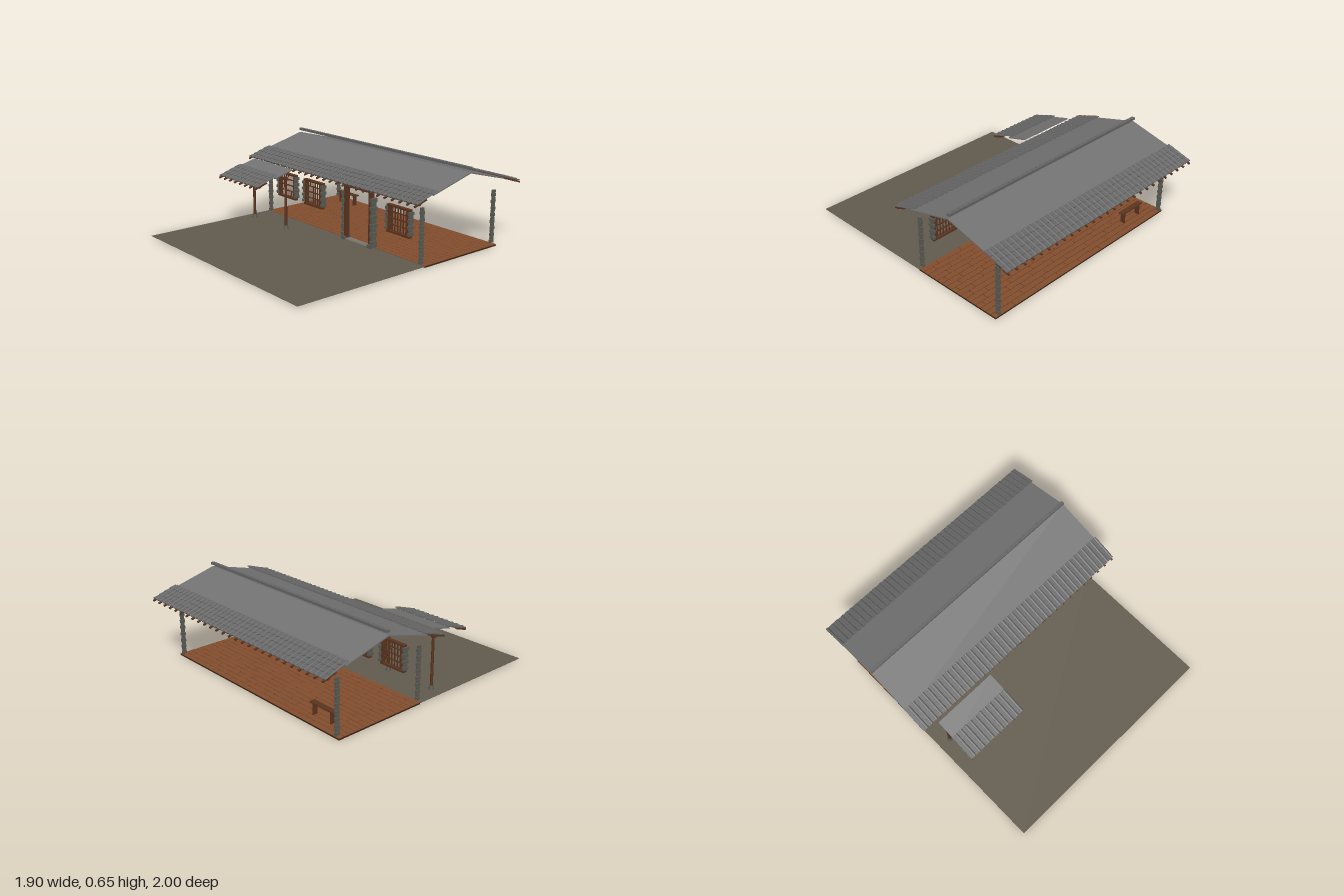
import * as THREE from 'three';
import { mergeGeometries } from 'three/addons/utils/BufferGeometryUtils.js';

const paint = (name, color, side = THREE.FrontSide) => {
  const m = new THREE.MeshStandardMaterial({ color, side });
  m.name = name;
  return m;
};

// Box given by centre and size, with an optional tilt about x
function box(x, y, z, w, h, d, tilt = 0) {
  return new THREE.BoxGeometry(w, h, d).rotateX(tilt).translate(x, y, z);
}
// Box given by its limits
function span(x0, x1, y0, y1, z0, z1) {
  return box((x0 + x1) / 2, (y0 + y1) / 2, (z0 + z1) / 2, x1 - x0, y1 - y0, z1 - z0);
}
function part(name, geometries, material) {
  const mesh = new THREE.Mesh(mergeGeometries(geometries), material);
  mesh.name = name;
  return mesh;
}

// Stacked stones, alternately wide and narrow
function stones(x, z, y0, y1, n, w, d, step = 0.006) {
  const list = [], h = (y1 - y0) / n;
  for (let i = 0; i < n; i++) {
    const grow = i % 2 ? 0 : step;
    list.push(box(x, y0 + (i + 0.5) * h, z, w + grow / 2, h * 0.88, d + grow));
  }
  return list;
}

export function createModel() {
  const model = new THREE.Group();
  model.name = 'farmhouse';
  const roofGrey = paint('roof grey', 0x737373);
  const tileGrey = paint('tile grey', 0x666666);
  const stone = paint('stone', 0x5b5b55);
  const earth = paint('earth', 0x625b4e, THREE.DoubleSide);
  const floorWood = paint('floor wood', 0x834e2e);
  const darkWood = paint('dark wood', 0x5c3520);
  const gapBrown = paint('gap brown', 0x3c2415);
  const paleStone = paint('pale stone', 0x79756a);

  // Yard
  model.add(part('yard', [span(-0.9, 0.89, 0.009, 0.012, -0.09, 1)], earth));

  // Plank floor with staggered joints
  const planks = [], rows = 16, depth = 0.74 / rows, length = 0.22;
  for (let r = 0; r < rows; r++) {
    const z = -0.83 + (r + 0.5) * depth;
    let x = -0.9;
    let end = x + length * (0.3 + 0.7 * ((r * 0.618) % 1));
    while (x < 0.885) {
      const stop = Math.min(end, 0.89);
      planks.push(box((x + stop) / 2, 0.007, z, stop - x - 0.004, 0.014, depth - 0.004));
      x = stop;
      end = x + length;
    }
  }
  model.add(part('floorPlanks', planks, floorWood));
  model.add(part('floorBase', [span(-0.899, 0.889, 0.002, 0.011, -0.829, -0.091)], gapBrown));

  // Stone corner pillars
  const pillars = [];
  for (const x of [-0.865, 0.855])
    for (const z of [-0.085, -0.815]) pillars.push(...stones(x, z, 0.02, 0.42, 16, 0.016, 0.027));
  model.add(part('cornerPillars', pillars, stone));

  // Eave: overlapping tile courses on rafters, falling towards +z from its top edge
  function eave(name, x0, x1, columns, rafterCount) {
    const group = new THREE.Group();
    group.name = name;
    const slope = 0.3, tiles = [], covers = [], rafters = [];
    const pitch = (x1 - x0) / columns, courses = 4, run = 0.19 / courses;
    for (let c = 0; c < columns; c++) {
      const x = x0 + (c + 0.5) * pitch;
      for (let r = 0; r < courses; r++) {
        const z = (r + 0.5) * run, y = -z * 0.32 - 0.003;
        tiles.push(box(x - pitch * 0.2, y, z, pitch * 0.62, 0.006, run * 1.15, slope - 0.08));
        covers.push(new THREE.CylinderGeometry(pitch * 0.22, pitch * 0.26, run * 1.1, 6, 1, false, Math.PI / 2, Math.PI)
          .rotateX(-Math.PI / 2).rotateZ(Math.PI).scale(1, 0.8, 1));
        const cover = covers[covers.length - 1];
        cover.computeBoundingBox();
        if (cover.boundingBox.max.y < 0.001) cover.rotateZ(Math.PI);
        cover.rotateX(slope).translate(x + pitch * 0.25, y + 0.001, z);
      }
    }
    for (let i = 0; i < rafterCount; i++) {
      const x = x0 + 0.012 + i * (x1 - x0 - 0.03) / (rafterCount - 1);
      rafters.push(box(x, -0.064, 0.152, 0.012, 0.012, 0.1, slope));
    }
    rafters.push(box((x0 + x1) / 2, -0.066, 0.16, x1 - x0 - 0.008, 0.012, 0.022, slope));
    rafters.push(box((x0 + x1) / 2, -0.046, 0.105, x1 - x0 - 0.008, 0.01, 0.016, slope));
    group.add(part('panTiles', tiles, tileGrey), part('coverTiles', covers, tileGrey));
    group.add(part('rafters', rafters, darkWood));
    return group;
  }
  const frontEave = eave('frontEave', -0.953, 0.95, 42, 27);
  frontEave.position.set(0, 0.545, -0.13);
  const backEave = eave('backEave', -0.95, 0.953, 42, 27);
  backEave.position.set(0, 0.545, -0.795);
  backEave.rotation.y = Math.PI;
  const porchEave = eave('porchEave', -0.842, -0.338, 11, 8);
  porchEave.position.set(0, 0.463, 0.228);
  model.add(frontEave, backEave, porchEave);

  // Sloping slab from an upper to a lower edge
  function slab(x0, x1, zA, yA, zB, yB) {
    const tilt = Math.atan2(yA - yB, zB - zA);
    return box((x0 + x1) / 2, (yA + yB) / 2, (zA + zB) / 2, x1 - x0, 0.008, Math.hypot(zB - zA, yB - yA), tilt);
  }
  const backSlab = slab(-0.95, 0.94, 0, 0.614, 0.36, 0.519).rotateY(Math.PI).translate(-0.01, 0, -0.46);
  model.add(part('mainRoof', [slab(-0.95, 0.94, -0.46, 0.614, -0.1, 0.519), backSlab], roofGrey));
  model.add(part('porchRoof', [slab(-0.84, -0.34, 0.088, 0.484, 0.25, 0.441)], roofGrey));

  // Ridge tiles
  const ridge = [];
  for (let i = 0; i < 42; i++) ridge.push(box(-0.9275 + i * 0.045, 0.645, -0.463, 0.041, 0.018, 0.026));
  ridge.push(box(-0.005, 0.644, -0.463, 1.87, 0.012, 0.02));
  model.add(part('ridgeTiles', ridge, tileGrey));

  // Porch posts on stone feet
  for (const x of [-0.807, -0.39]) {
    const post = new THREE.Group();
    post.name = 'porchPost';
    post.add(part('shaft', [
      new THREE.CylinderGeometry(0.01, 0.011, 0.37, 10).translate(x, 0.225, 0.12),
      box(x, 0.412, 0.12, 0.024, 0.022, 0.026),
    ], darkWood));
    post.add(part('foot', [
      new THREE.CylinderGeometry(0.014, 0.02, 0.03, 8).translate(x, 0.027, 0.12),
    ], stone));
    model.add(post);
  }
  model.add(part('porchBeam', [span(-0.83, -0.35, 0.405, 0.418, 0.113, 0.127)], darkWood));

  // Lattice windows with stone surrounds
  for (const x of [-0.63, -0.295, 0.64]) {
    const win = new THREE.Group();
    win.name = 'window';
    const frame = [
      box(x, 0.373, -0.083, 0.225, 0.014, 0.03), box(x, 0.184, -0.083, 0.225, 0.014, 0.03),
      box(x - 0.096, 0.279, -0.083, 0.016, 0.18, 0.026), box(x + 0.096, 0.279, -0.083, 0.016, 0.18, 0.026),
    ];
    const bars = [];
    for (let i = 0; i < 6; i++) bars.push(box(x - 0.068 + i * 0.0272, 0.279, -0.083, 0.006, 0.18, 0.008));
    for (let i = 0; i < 3; i++) bars.push(box(x, 0.237 + i * 0.046, -0.083, 0.18, 0.007, 0.01));
    const surround = [];
    for (const s of [-1, 1]) surround.push(...stones(x + s * 0.111, -0.083, 0.195, 0.365, 7, 0.015, 0.034, 0.012));
    win.add(part('frame', frame, darkWood), part('lattice', bars, darkWood), part('surround', surround, stone));
    model.add(win);
  }

  // Gateway: posts, lintel, threshold and stone jambs
  const gate = new THREE.Group();
  gate.name = 'gateway';
  const timber = [], jambs = [], feet = [];
  for (const s of [-1, 1]) {
    const x = 0.222 + s * 0.134;
    timber.push(box(x, 0.24, -0.083, 0.026, 0.42, 0.034));
    timber.push(box(0.222 + s * 0.118, 0.23, -0.083, 0.008, 0.4, 0.02));
    jambs.push(...stones(0.222 + s * 0.156, -0.083, 0.035, 0.385, 11, 0.02, 0.042, 0.012));
    feet.push(box(x + s * 0.008, 0.024, -0.083, 0.042, 0.024, 0.065));
  }
  timber.push(span(0.075, 0.37, 0.42, 0.446, -0.105, -0.06));
  timber.push(span(0.06, 0.385, 0.45, 0.466, -0.105, -0.03));
  gate.add(part('timberFrame', timber, darkWood), part('stoneJambs', jambs, stone));
  gate.add(part('postFeet', feet, stone));
  gate.add(part('threshold', [span(0.09, 0.355, 0.01, 0.021, -0.11, -0.055)], paleStone));
  model.add(gate);

  // Small bracket under the front eave
  model.add(part('eaveBracket', [span(0.735, 0.765, 0.45, 0.476, -0.1, -0.02)], darkWood));

  // Bench
  const bench = [span(-0.75, -0.52, 0.097, 0.106, -0.745, -0.703)];
  for (const x of [-0.722, -0.55]) {
    bench.push(span(x - 0.004, x + 0.004, 0.014, 0.097, -0.742, -0.706));
    bench.push(span(x - 0.009, x + 0.009, 0.084, 0.097, -0.738, -0.71));
  }
  model.add(part('bench', bench, darkWood));
  return model;
}
